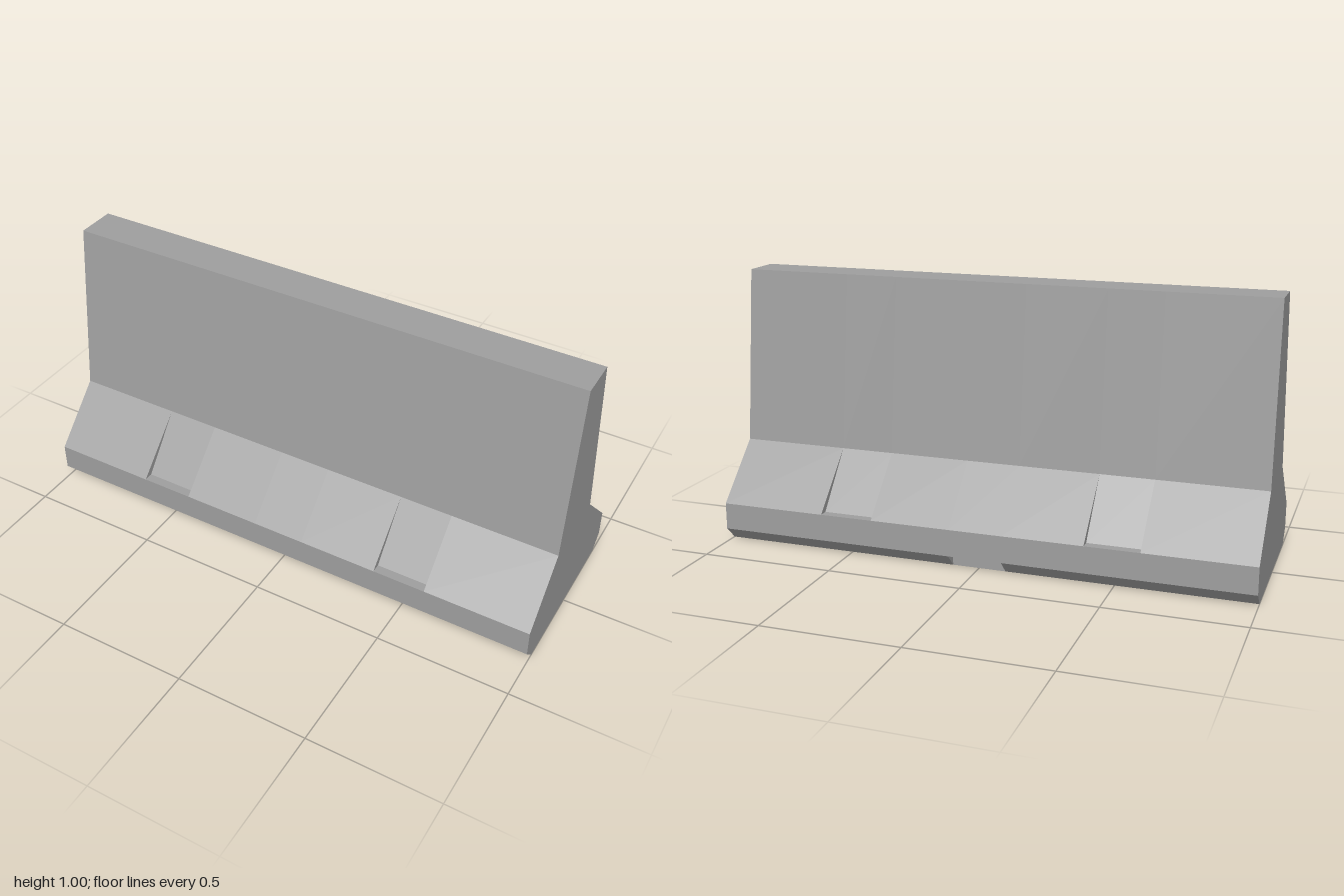
import * as THREE from 'three';

// Half cross-sections as [z, y], from the foot up to the crown
const PLAIN = [[0.3, 0], [0.35, 0.05], [0.35, 0.15], [0.15, 0.35], [0.075, 1]];
const POCKET = [[0.3, 0], [0.35, 0.05], [0.35, 0.15], [0.315, 0.15], [0.15, 0.35], [0.075, 1]];
const DRAIN = [[0.3, 0], [0.3, 0.05], [0.35, 0.05], [0.35, 0.15], [0.15, 0.35], [0.075, 1]];

// Triangular cheeks that close the sides of each recess
const POCKET_CHEEK = [[0.35, 0.15], [0.315, 0.15], [0.15, 0.35]];
const DRAIN_CHEEK = [[0.35, 0.05], [0.3, 0.05], [0.3, 0]];

const mirrorZ = (points) => points.map(([z, y]) => [-z, y]);

// Outer skin of one length of the wall between x0 and x1
function addSkin(out, half, x0, x1) {
  const loop = [...half, ...mirrorZ(half).reverse()];
  loop.forEach(([pz, py], i) => {
    const [qz, qy] = loop[(i + 1) % loop.length];
    out.push(x0, py, pz, x1, py, pz, x1, qy, qz);
    out.push(x0, py, pz, x1, qy, qz, x0, qy, qz);
  });
}

// Triangle in the plane x, facing +x or -x as given by dir
function addTriangle(out, x, dir, a, b, c) {
  const turn = (b[1] - a[1]) * (c[0] - a[0]) - (b[0] - a[0]) * (c[1] - a[1]);
  const order = turn * dir > 0 ? [a, b, c] : [a, c, b];
  order.forEach(([z, y]) => out.push(x, y, z));
}

// Both sides of a recess, on the front and the back of the wall
function addCheeks(out, cheek, x0, x1) {
  for (const tri of [cheek, mirrorZ(cheek)]) {
    addTriangle(out, x0, 1, ...tri);
    addTriangle(out, x1, -1, ...tri);
  }
}

function makeMesh(name, positions, material) {
  const geometry = new THREE.BufferGeometry();
  geometry.setAttribute('position', new THREE.Float32BufferAttribute(positions, 3));
  geometry.computeVertexNormals();
  const mesh = new THREE.Mesh(geometry, material);
  mesh.name = name;
  return mesh;
}

export function createModel() {
  const concrete = new THREE.MeshStandardMaterial({ color: 0x9e9e9e, flatShading: true });
  concrete.name = 'concrete';
  const group = new THREE.Group();
  group.name = 'concreteBarrier';

  // Wall skin, one stretch per cross-section along x
  const skin = [];
  const stretches = [
    [-1, -0.6, PLAIN], [-0.6, -0.4, POCKET], [-0.4, -0.1, PLAIN], [-0.1, 0.1, DRAIN],
    [0.1, 0.4, PLAIN], [0.4, 0.6, POCKET], [0.6, 1, PLAIN],
  ];
  for (const [x0, x1, half] of stretches) addSkin(skin, half, x0, x1);
  group.add(makeMesh('wall', skin, concrete));

  // Flat ends, filled in bands between the mirrored halves
  const ends = [];
  const other = mirrorZ(PLAIN);
  for (const side of [-1, 1]) {
    for (let i = 0; i < PLAIN.length - 1; i++) {
      addTriangle(ends, side, side, PLAIN[i], PLAIN[i + 1], other[i + 1]);
      addTriangle(ends, side, side, PLAIN[i], other[i + 1], other[i]);
    }
  }
  group.add(makeMesh('endFaces', ends, concrete));

  // Sides of the sloping pockets and of the drain notch at the foot
  const pockets = [];
  addCheeks(pockets, POCKET_CHEEK, -0.6, -0.4);
  addCheeks(pockets, POCKET_CHEEK, 0.4, 0.6);
  group.add(makeMesh('pocketSides', pockets, concrete));

  const drain = [];
  addCheeks(drain, DRAIN_CHEEK, -0.1, 0.1);
  group.add(makeMesh('drainNotchSides', drain, concrete));

  return group;
}
